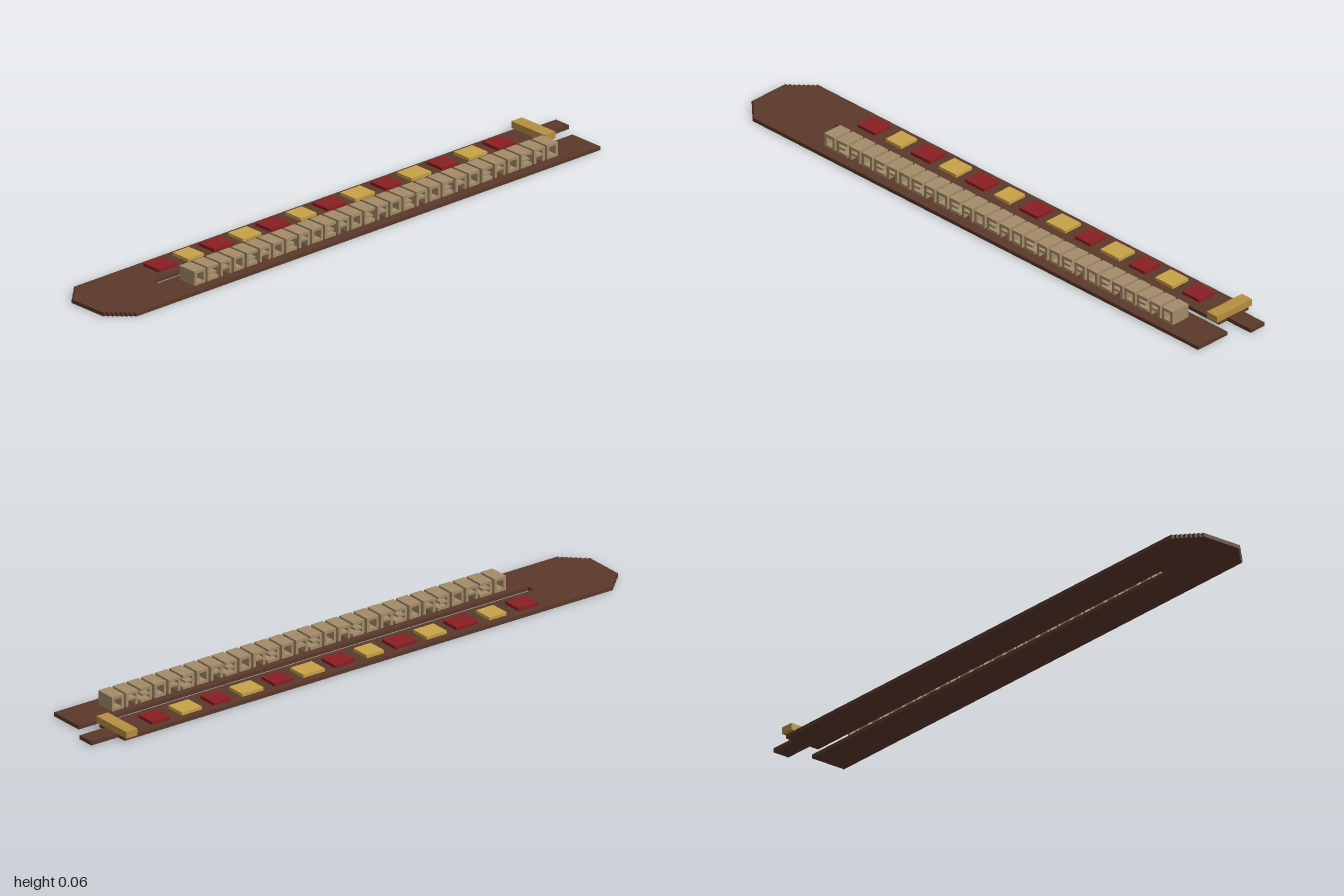
import * as THREE from 'three';

const mat = (name, color) => {
  const m = new THREE.MeshStandardMaterial({ color });
  m.name = name;
  return m;
};

export function createModel() {
  const root = new THREE.Group();
  root.name = 'beltModel';
  const leather = mat('brown leather', 0x5a392b);
  const red = mat('dark red', 0x8b1e22);
  const gold = mat('gold', 0xc8a248);
  const brass = mat('brass', 0xb68f42);
  const tan = mat('tan', 0xa48c68);

  const add = (parent, name, geo, m, x = 0, y = 0, z = 0) => {
    const mesh = new THREE.Mesh(geo, m);
    mesh.name = name;
    mesh.position.set(x, y, z);
    parent.add(mesh);
    return mesh;
  };
  // box given by its limits
  const box = (parent, name, m, x0, x1, y0, y1, z0, z1) =>
    add(parent, name, new THREE.BoxGeometry(x1 - x0, y1 - y0, z1 - z0), m,
      (x0 + x1) / 2, (y0 + y1) / 2, (z0 + z1) / 2);

  // Folded strap: two long strips joined at a step-cut end, shape y is -z
  const T = 0.012, steps = 7, pts = [];
  const corner = (i, side) => {
    const x = -1 + 0.07 * i / steps;
    const d = 0.071 + 0.066 * i / steps;
    return [x, -0.0065 + side * d];
  };
  pts.push([-0.725, -0.019], [-0.725, 0.006], [0.9, 0.006], [0.9, 0.13]);
  for (let i = steps; i > 0; i--) {
    const [x, y] = corner(i, 1);
    pts.push([x, y], [x, corner(i - 1, 1)[1]]);
  }
  pts.push(corner(0, 1), corner(0, -1));
  for (let i = 1; i <= steps; i++) {
    const [x, y] = corner(i, -1);
    pts.push([x, corner(i - 1, -1)[1]], [x, y]);
  }
  pts.push([0.96, -0.143], [0.96, -0.019]);
  const outline = new THREE.Shape(pts.map(([x, y]) => new THREE.Vector2(x, y)));
  const strapGeo = new THREE.ExtrudeGeometry(outline, { depth: T, bevelEnabled: false });
  strapGeo.rotateX(-Math.PI / 2);
  add(root, 'strap', strapGeo, leather);

  // Narrow tongue and the crossbar over it
  box(root, 'tongue', leather, 0.89, 1, 0, 0.013, -0.097, -0.039);
  box(root, 'crossbar', brass, 0.86, 0.903, T, 0.034, -0.142, 0.006);

  // Alternating red and gold plates
  const plates = new THREE.Group();
  plates.name = 'plates';
  root.add(plates);
  const widths = [0.075, 0.065, 0.08, 0.075, 0.08, 0.065, 0.075, 0.08, 0.065, 0.08, 0.065, 0.075, 0.07];
  widths.forEach((w, i) => {
    const x = -0.632 + i * 0.1148;
    box(plates, i % 2 ? 'goldPlate' : 'redPlate', i % 2 ? gold : red,
      x - w / 2, x + w / 2, T, 0.022, -0.107, -0.04);
  });

  // Row of raised open-frame blocks
  const blocks = new THREE.Group();
  blocks.name = 'raisedBlocks';
  root.add(blocks);
  const count = 28, pitch = 0.0531, W = 0.044, S = 0.009, top = 0.058, z0 = 0.042, z1 = 0.11;
  for (let i = 0; i < count; i++) {
    const g = new THREE.Group();
    g.name = 'openBlock';
    blocks.add(g);
    const x = -0.66 + i * pitch, r = x + W;
    box(g, 'topBar', tan, x, r, top - S, top, z0, z1);
    box(g, 'upright', tan, x, x + S, T, top - S, z0, z1);
    if (i % 3 !== 1) box(g, 'upright', tan, r - S, r, T, top - S, z0, z1);
    if (i % 3 !== 2) box(g, 'baseBar', tan, x + S, i % 3 === 1 ? r : r - S, T, T + S, z0, z1);
    if (i % 3 !== 0) box(g, 'middleBar', tan, x + S, r - S, 0.031, 0.038, z0, z1);
  }
  return root;
}
